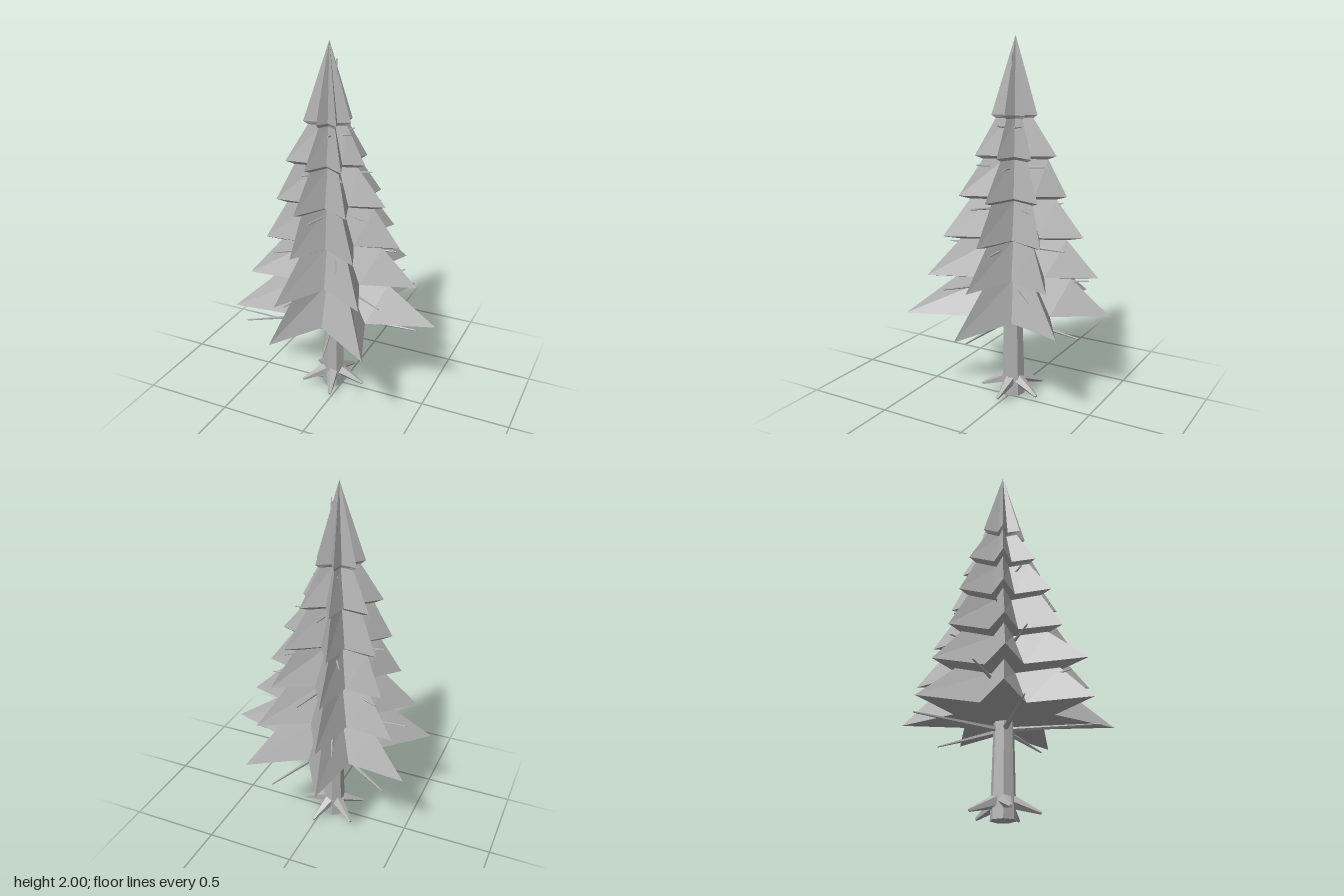
import * as THREE from 'three';

const bark = new THREE.MeshStandardMaterial({ color: 0xb0b0b0, flatShading: true });
bark.name = 'plain grey';

// Skin built from a stack of closed rings, bottom to top
function skin(rings) {
  const pos = [];
  const n = rings[0].length;
  const tri = (a, b, c) => {
    if (a.distanceTo(b) < 1e-5 || b.distanceTo(c) < 1e-5 || a.distanceTo(c) < 1e-5) return;
    for (const p of [a, b, c]) pos.push(p.x, p.y, p.z);
  };
  for (let k = 0; k < rings.length - 1; k++) {
    for (let i = 0; i < n; i++) {
      const j = (i + 1) % n;
      const lo = rings[k], hi = rings[k + 1];
      tri(lo[i], hi[i], lo[j]);
      tri(lo[j], hi[i], hi[j]);
    }
  }
  const g = new THREE.BufferGeometry();
  g.setAttribute('position', new THREE.Float32BufferAttribute(pos, 3));
  g.computeVertexNormals();
  return g;
}

// Seven-pointed star ring with a notch between each pair of points
function starRing({ r: radii, a: angles }, y, scale, notch) {
  const ring = [];
  for (let i = 0; i < 7; i++) {
    const next = i < 6 ? angles[i + 1] : 360;
    const valley = (radii[i] + radii[(i + 1) % 7]) / 2 * notch;
    for (const [r, deg] of [[radii[i], angles[i]], [valley, (angles[i] + next) / 2]]) {
      const a = THREE.MathUtils.degToRad(deg);
      ring.push(new THREE.Vector3(-0.07 + r * scale * Math.cos(a), y, r * scale * Math.sin(a)));
    }
  }
  return ring;
}

// Tapered stick between two points
function stick(name, from, to, r0, r1, sides) {
  const dir = to.clone().sub(from);
  const g = new THREE.CylinderGeometry(r1, r0, dir.length(), sides);
  const m = new THREE.Mesh(g, bark);
  m.name = name;
  m.position.copy(from).addScaledVector(dir, 0.5);
  m.quaternion.setFromUnitVectors(new THREE.Vector3(0, 1, 0), dir.normalize());
  return m;
}

export function createModel() {
  const tree = new THREE.Group();
  tree.name = 'pineTree';

  // Foliage tiers: rim height, tuck (top width against the rim above),
  // then reach and direction of the seven points
  const low = [0, 50, 101, 154, 206, 259, 309.5];
  const high = [0, 48, 99, 153, 207, 261, 312];
  const tiers = [
    { y: 0.515, tuck: 0.68, a: low, r: [0.625, 0.61, 0.54, 0.54, 0.525, 0.54, 0.557] },
    { y: 0.73, tuck: 0.76, a: high, r: [0.51, 0.49, 0.51, 0.445, 0.435, 0.475, 0.475] },
    { y: 0.943, tuck: 0.8, a: high, r: [0.405, 0.4, 0.37, 0.35, 0.345, 0.39, 0.39] },
    { y: 1.16, tuck: 0.8, a: low, r: [0.32, 0.31, 0.315, 0.29, 0.29, 0.29, 0.31] },
    { y: 1.375, tuck: 0.82, a: low, r: [0.2, 0.22, 0.22, 0.235, 0.23, 0.23, 0.22] },
    { y: 1.59, a: low, r: [0.12, 0.13, 0.118, 0.138, 0.135, 0.122, 0.13] },
  ];
  const rings = [starRing(tiers[0], 0.49, 0, 0.5)];
  tiers.forEach((t, k) => {
    const above = tiers[k + 1];
    rings.push(starRing(t, t.y, 1, 0.47));
    rings.push(above ? starRing(above, above.y - 0.018, t.tuck, 0.42) : starRing(t, 2, 0, 0.5));
  });
  const foliage = new THREE.Mesh(skin(rings), bark);
  foliage.name = 'foliage';
  tree.add(foliage);

  // Slightly leaning trunk whose thin tip pokes out beside the crown
  const trunkX = (y) => -0.055 + 0.013 * y;
  const trunkRing = (y, r) => Array.from({ length: 7 }, (_, i) => {
    const a = (i / 7) * Math.PI * 2;
    return new THREE.Vector3(trunkX(y) + r * Math.cos(a), y, r * Math.sin(a));
  });
  const trunk = new THREE.Mesh(skin([
    trunkRing(0, 0), trunkRing(0, 0.066), trunkRing(0.48, 0.054),
    trunkRing(1.2, 0.028), trunkRing(1.91, 0.003), trunkRing(1.91, 0),
  ]), bark);
  trunk.name = 'trunk';
  tree.add(trunk);

  // Roots
  for (let i = 0; i < 5; i++) {
    const a = (i / 5) * Math.PI * 2;
    const at = (r, y) => new THREE.Vector3(-0.055 + r * Math.cos(a), y, r * Math.sin(a));
    tree.add(stick('root', at(0.02, 0.098), at(0.185, 0.032), 0.04, 0.008, 5));
  }

  // Whorls of bare twigs, each turned about half a step from the one below
  [0.495, 0.42, 0.345, 0.275, 0.195, 0.11].forEach((reach, k) => {
    const y = 0.455 + k * 0.2135;
    for (let i = 0; i < 5; i++) {
      const a = ((i + (k % 2) * 0.5) / 5) * Math.PI * 2 - k * 0.07;
      const at = (r, h) => new THREE.Vector3(trunkX(y) + r * Math.cos(a), h, r * Math.sin(a));
      const thick = 0.015 - k * 0.0015;
      tree.add(stick('twig', at(0.01, y), at(reach, y + 0.015), thick, 0.004, 5));
    }
  });

  return tree;
}
